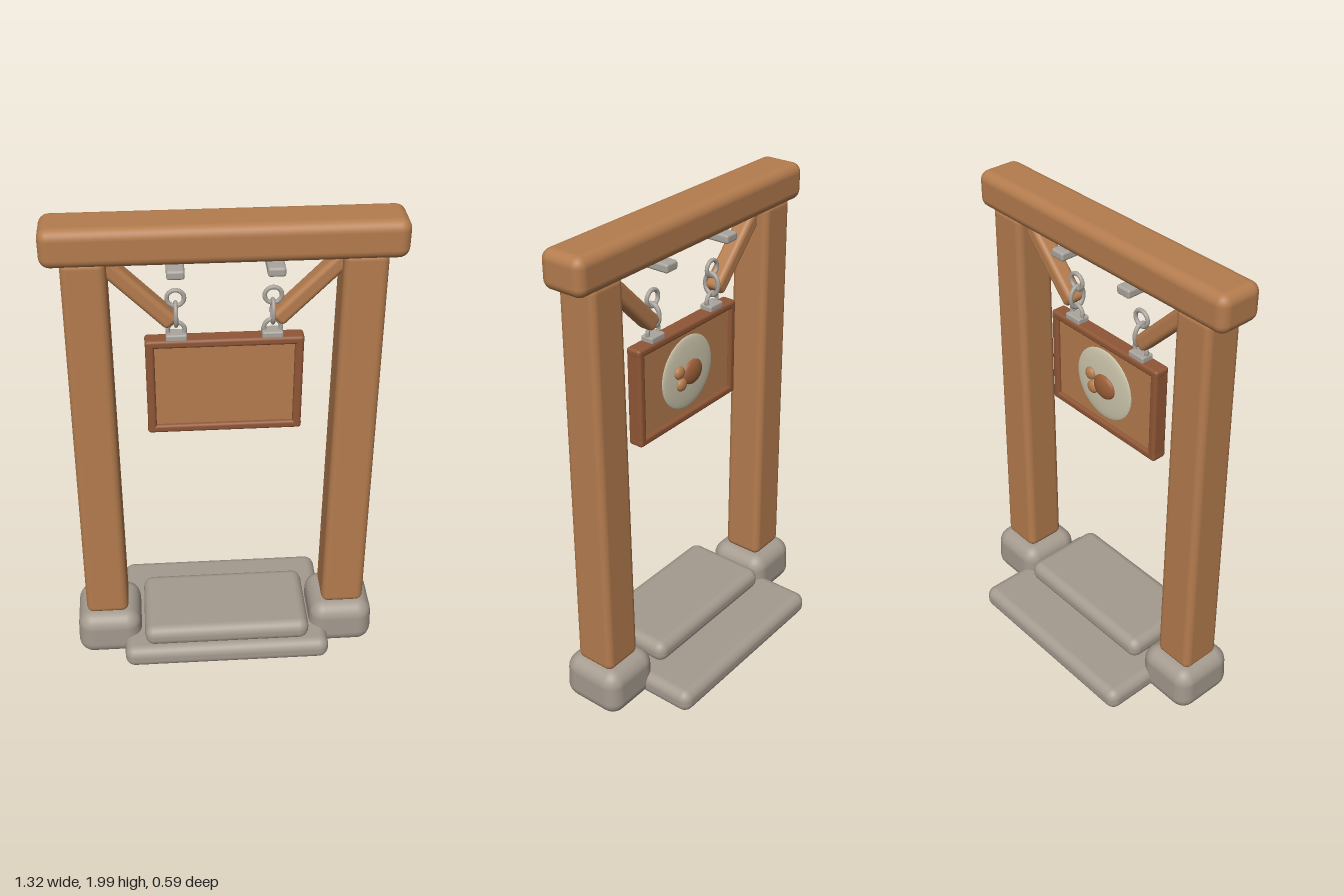
import * as THREE from 'three';
import { RoundedBoxGeometry } from 'three/addons/geometries/RoundedBoxGeometry.js';

const mat = (color) => new THREE.MeshStandardMaterial({ color });
const wood = mat(0xb47c4e);
const darkWood = mat(0x8f5636);
const stone = mat(0xa59b8f);
const metal = mat(0xaaa59d);
const cream = mat(0xcfc8ae);
const emblemWood = mat(0x9c5f38);

const Z = 0.055; // depth of the gate's centre plane

export function createModel() {
  const model = new THREE.Group();
  model.name = 'hangingSignGate';

  const add = (name, geometry, material, x, y, z, parent = model) => {
    const mesh = new THREE.Mesh(geometry, material);
    mesh.name = name;
    mesh.position.set(x, y, z);
    parent.add(mesh);
    return mesh;
  };
  const box = (w, h, d, r, segments = 4) => new RoundedBoxGeometry(w, h, d, segments, r);

  // Stone steps
  add('lowerStep', box(0.875, 0.1, 0.59, 0.042), stone, 0, 0.06, -0.005);
  add('upperStep', box(0.7, 0.095, 0.37, 0.042), stone, 0, 0.158, 0.085);

  // Top beam
  add('beam', box(1.316, 0.15, 0.19, 0.04), wood, 0, 1.925, Z);

  // Post that narrows slightly towards the top
  const postGeometry = box(0.178, 1.67, 0.178, 0.03);
  const p = postGeometry.attributes.position;
  for (let i = 0; i < p.count; i++) {
    const s = 1 - 0.08 * (p.getY(i) / 1.67 + 0.5);
    p.setX(i, p.getX(i) * s);
    p.setZ(i, p.getZ(i) * s);
  }

  // Boulder foot, a little narrower at the top
  const footGeometry = box(0.278, 0.208, 0.288, 0.065, 5);
  const f = footGeometry.attributes.position;
  for (let i = 0; i < f.count; i++) {
    const s = 1 - 0.05 * (f.getY(i) / 0.208 + 0.5);
    f.setX(i, f.getX(i) * s);
    f.setZ(i, f.getZ(i) * s);
  }

  for (const side of [-1, 1]) {
    const label = side > 0 ? 'left' : 'right';
    add(label + 'Foot', footGeometry, stone, side * 0.5, 0.11, Z);
    add(label + 'Post', postGeometry, wood, side * 0.506, 1.04, Z);

    // Diagonal brace between post and beam
    const brace = add(label + 'Brace', box(0.065, 0.36, 0.075, 0.02), wood, side * 0.317, 1.712, Z);
    brace.rotation.z = -side * 0.77;

    // Strap below the beam
    add(label + 'Strap', box(0.066, 0.036, 0.205, 0.01, 2), metal, side * 0.18, 1.825, 0.06);

    // Chain of three links and its mounting plate
    const chain = new THREE.Group();
    chain.name = label + 'Chain';
    model.add(chain);
    const link = new THREE.TorusGeometry(0.032, 0.0085, 10, 28);
    const x = side * 0.18;
    add('upperLink', link, metal, x, 1.68, Z, chain);
    const middle = add('middleLink', link, metal, x, 1.613, Z, chain);
    middle.rotation.y = Math.PI / 2;
    middle.scale.y = 1.35;
    add('lowerLink', link, metal, x, 1.546, Z, chain);
    add('chainPlate', box(0.08, 0.028, 0.055, 0.007, 2), metal, x, 1.522, Z, chain);
  }

  // Hanging sign: recessed panel inside a frame
  const sign = new THREE.Group();
  sign.name = 'sign';
  sign.position.set(0, 1.308, Z);
  model.add(sign);
  add('panel', new THREE.BoxGeometry(0.56, 0.38, 0.036), wood, 0, 0, 0, sign);
  for (const s of [-1, 1]) {
    add('frameRail', box(0.6, 0.034, 0.066, 0.012, 3), darkWood, 0, s * 0.19, 0, sign);
    add('frameStile', box(0.034, 0.414, 0.066, 0.012, 3), darkWood, s * 0.282, 0, 0, sign);
  }

  // Round medallion with raised bumps on the back of the sign
  const dome = (name, r, depth, material, x, y, z) => {
    const mesh = add(name, new THREE.SphereGeometry(1, 36, 20), material, x, y, z, sign);
    mesh.scale.set(r, r, depth);
    return mesh;
  };
  dome('medallion', 0.155, 0.014, cream, 0, 0, -0.018);
  dome('emblemBody', 0.052, 0.02, emblemWood, -0.015, 0, -0.032).scale.x = 0.058;
  dome('emblemUpperBump', 0.027, 0.016, wood, 0.065, 0.025, -0.032);
  dome('emblemLowerBump', 0.027, 0.016, wood, 0.052, -0.032, -0.032);

  return model;
}
